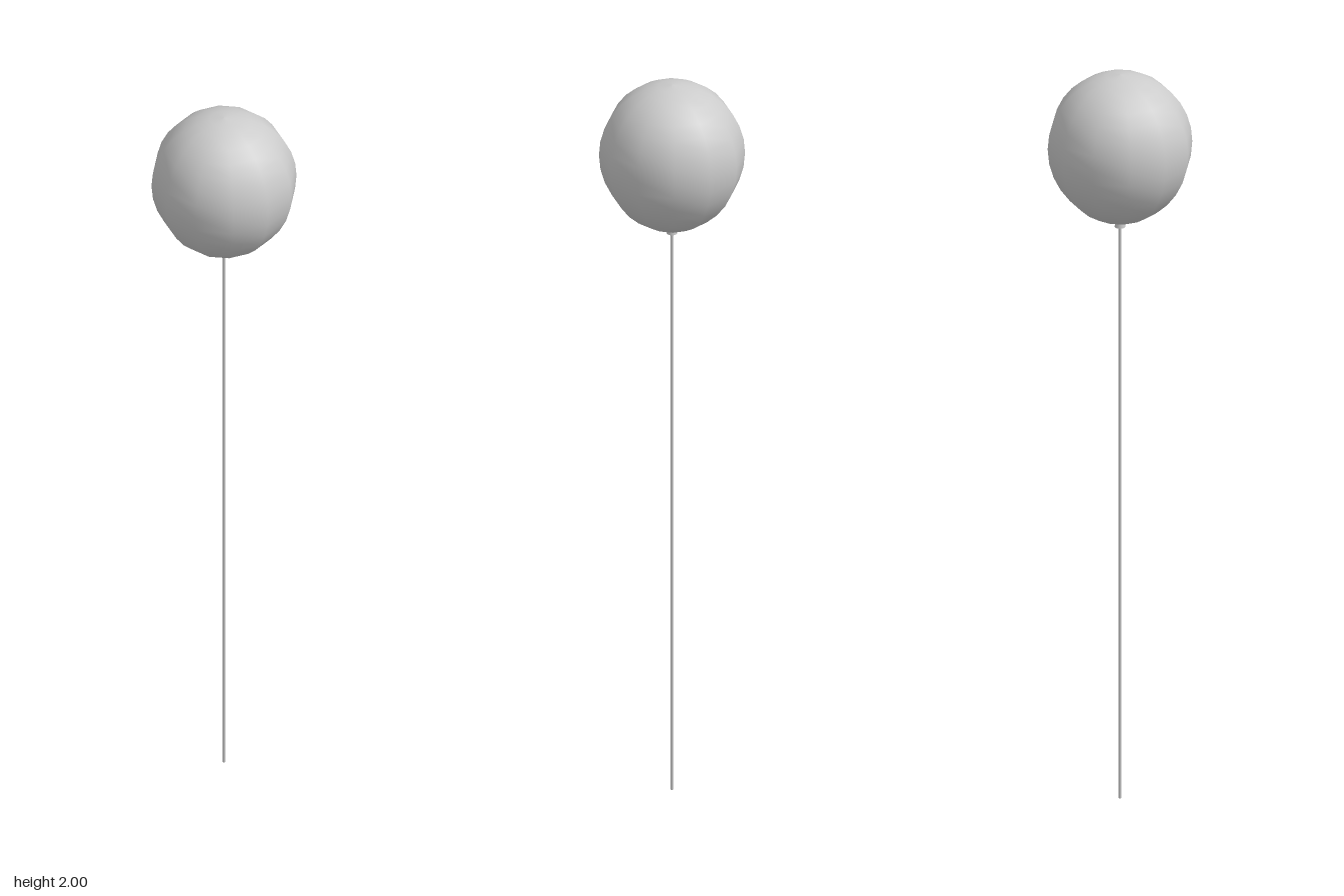
import * as THREE from 'three';

export function createModel() {
  const group = new THREE.Group();
  const material = new THREE.MeshStandardMaterial({ color: 0xcccccc });
  const add = (name, geometry, y) => {
    const mesh = new THREE.Mesh(geometry, material);
    mesh.name = name;
    mesh.position.y = y;
    group.add(mesh);
  };

  // Balloon: twelve-sided, smooth, tapering slightly towards the bottom
  const rings = 16;
  const profile = [];
  for (let i = 0; i <= rings; i++) {
    const a = (i / rings) * Math.PI;
    const y = -Math.cos(a);
    const taper = y < 0 ? 1 - 0.04 * y * y : 1;
    profile.push(new THREE.Vector2(0.187 * Math.sin(a) * taper, y * (y < 0 ? 0.207 : 0.195)));
  }
  add('balloon', new THREE.LatheGeometry(profile, 12), 1.805);

  // Knot: short flared neck under the balloon
  add('knot', new THREE.CylinderGeometry(0.011, 0.014, 0.025, 12), 1.592);

  // String: thin rod down to the ground
  add('string', new THREE.CylinderGeometry(0.004, 0.004, 1.59, 6), 0.795);

  return group;
}
